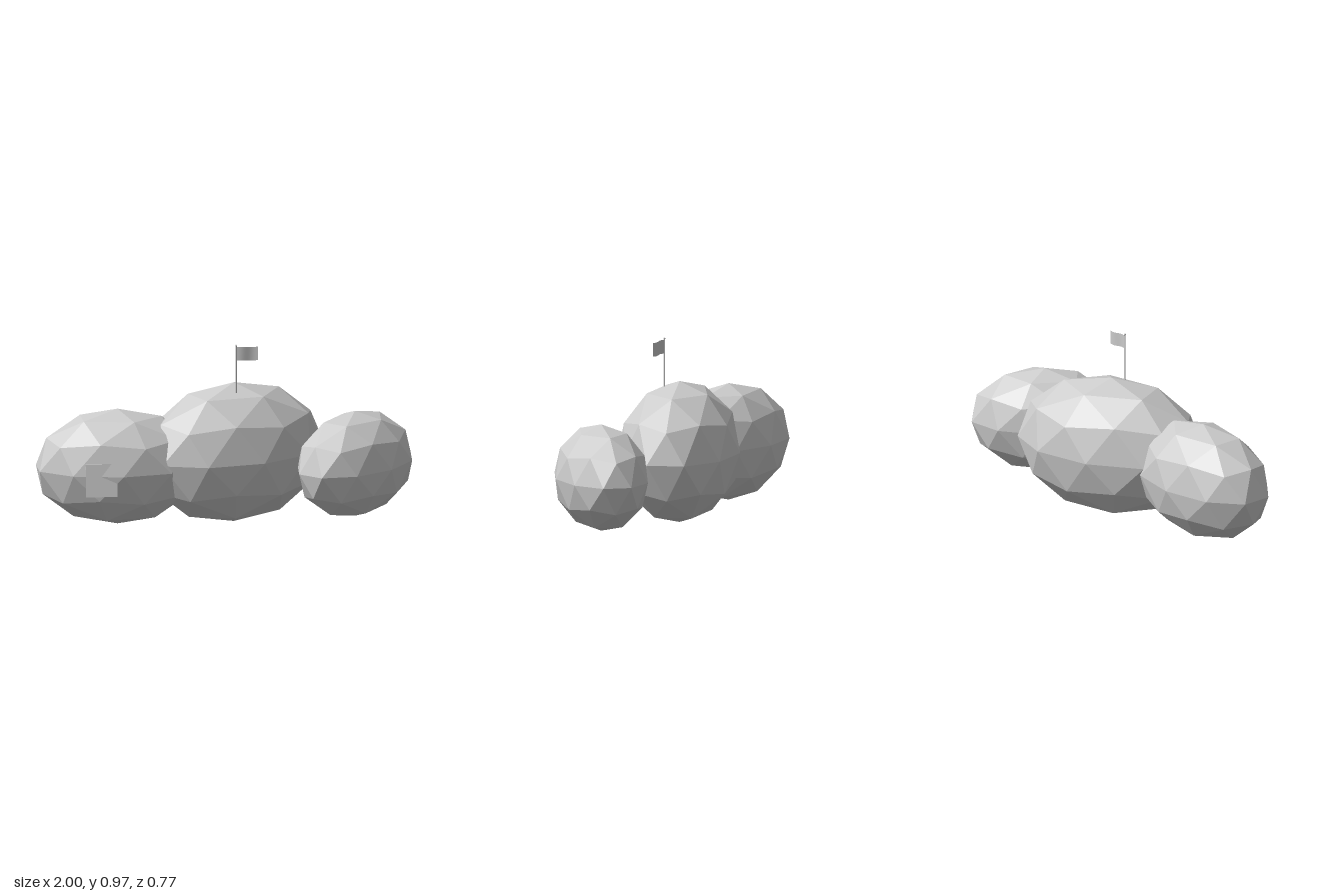
import * as THREE from 'three';

const stone = new THREE.MeshStandardMaterial({ color: 0xcccccc, flatShading: true });
stone.name = 'light grey';
const cloth = new THREE.MeshStandardMaterial({ color: 0xcccccc, side: THREE.DoubleSide });
cloth.name = 'cloth grey';

// Low-poly boulder: an icosphere standing on a corner, stretched and turned about y
function boulder(name, position, size, turn) {
  const geometry = new THREE.IcosahedronGeometry(1, 1);
  geometry.rotateZ(-Math.atan(2 / (1 + Math.sqrt(5))));
  const mesh = new THREE.Mesh(geometry, stone);
  mesh.name = name;
  mesh.position.set(...position);
  mesh.scale.set(...size);
  mesh.rotation.y = turn;
  return mesh;
}

function createFlag() {
  const flag = new THREE.Group();
  flag.name = 'flag';

  const pole = new THREE.Mesh(new THREE.CylinderGeometry(0.0035, 0.0035, 0.255, 8), stone);
  pole.name = 'flagPole';
  pole.position.y = 0.845;

  const knob = new THREE.Mesh(new THREE.SphereGeometry(0.0055, 8, 6), stone);
  knob.name = 'flagPoleKnob';
  knob.position.y = 0.972;

  // Gently rippled cloth
  const geometry = new THREE.PlaneGeometry(0.115, 0.073, 10, 1);
  const p = geometry.attributes.position;
  for (let i = 0; i < p.count; i++) {
    const u = p.getX(i) / 0.115 + 0.5;
    const wave = Math.sin(u * Math.PI * 2);
    p.setZ(i, 0.004 * wave);
    p.setY(i, p.getY(i) + 0.002 * wave);
  }
  geometry.computeVertexNormals();
  const sheet = new THREE.Mesh(geometry, cloth);
  sheet.name = 'flagCloth';
  sheet.position.set(0.0575, 0.927, 0);

  flag.add(pole, knob, sheet);
  flag.position.set(0.05, 0, 0.064);
  return flag;
}

export function createModel() {
  const model = new THREE.Group();
  model.name = 'boulders';

  model.add(
    boulder('middleBoulder', [0.05, 0.378, -0.03], [0.523, 0.375, 0.322], 0.41),
    boulder('rightBoulder', [-0.578, 0.34, 0.06], [0.444, 0.31, 0.264], 0),
    boulder('leftBoulder', [0.68, 0.317, 0.06], [0.4, 0.283, 0.245], Math.PI / 4),
  );

  // Block half sunk into the front of the right boulder
  const block = new THREE.Mesh(new THREE.BoxGeometry(0.165, 0.175, 0.06), stone);
  block.name = 'sunkenBlock';
  block.position.set(-0.69, 0.318, 0.274);
  block.rotation.set(-0.1, -0.1, 0);
  model.add(block);

  model.add(createFlag());
  return model;
}
